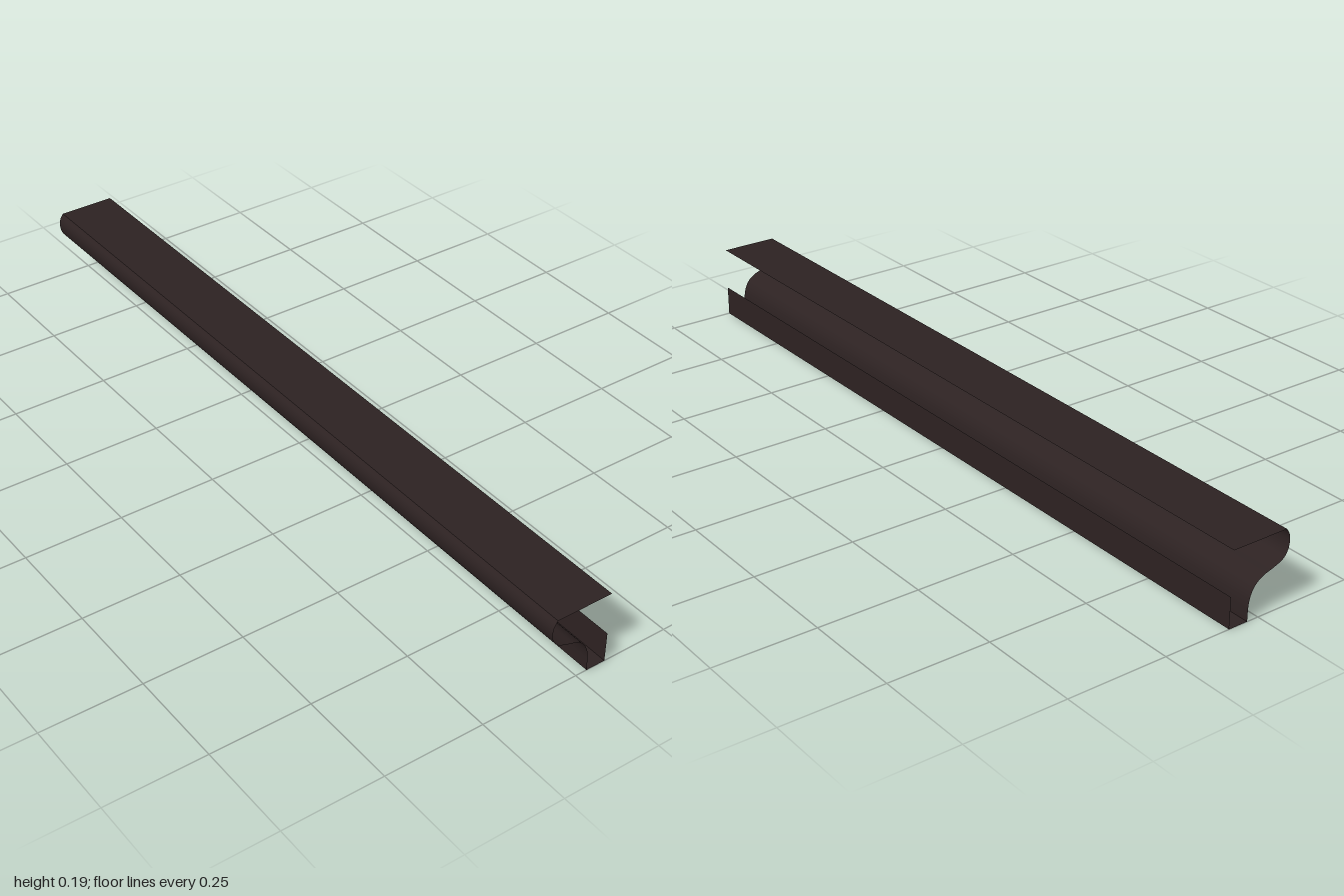
import * as THREE from 'three';

const wood = new THREE.MeshStandardMaterial({ color: 0x2d2222, side: THREE.DoubleSide });
wood.name = 'dark brown';

// Thin sheet running the full length, following a [z, y] cross-section
function sheet(name, profile) {
  const geometry = new THREE.PlaneGeometry(2, 1, 1, profile.length - 1);
  const pos = geometry.attributes.position;
  for (let i = 0; i < pos.count; i++) {
    const [z, y] = profile[Math.floor(i / 2)];
    pos.setY(i, y);
    pos.setZ(i, z);
  }
  geometry.computeVertexNormals();
  const mesh = new THREE.Mesh(geometry, wood);
  mesh.name = name;
  return mesh;
}

export function createModel() {
  const group = new THREE.Group();
  group.name = 'moulding';

  // Rounded nose flowing into a hollow cove, then a straight front skirt
  const ogee = new THREE.SplineCurve([
    [0.066, 0.185], [0.074, 0.172], [0.077, 0.155], [0.073, 0.133], [0.06, 0.116],
    [0.035, 0.105], [0.008, 0.096], [-0.012, 0.082], [-0.024, 0.062], [-0.029, 0.04], [-0.03, 0.02],
  ].map(([z, y]) => new THREE.Vector2(z, y)));
  const front = ogee.getPoints(40).map((p) => [p.x, p.y]);
  front.push([-0.03, 0]);

  group.add(
    sheet('topBoard', [[-0.08, 0.185], [0.066, 0.185]]),
    sheet('ogeeFront', front),
    sheet('bottomEdge', [[-0.03, 0], [-0.08, 0]]),
    sheet('backStrip', [[-0.08, 0], [-0.08, 0.076]]),
  );
  return group;
}
